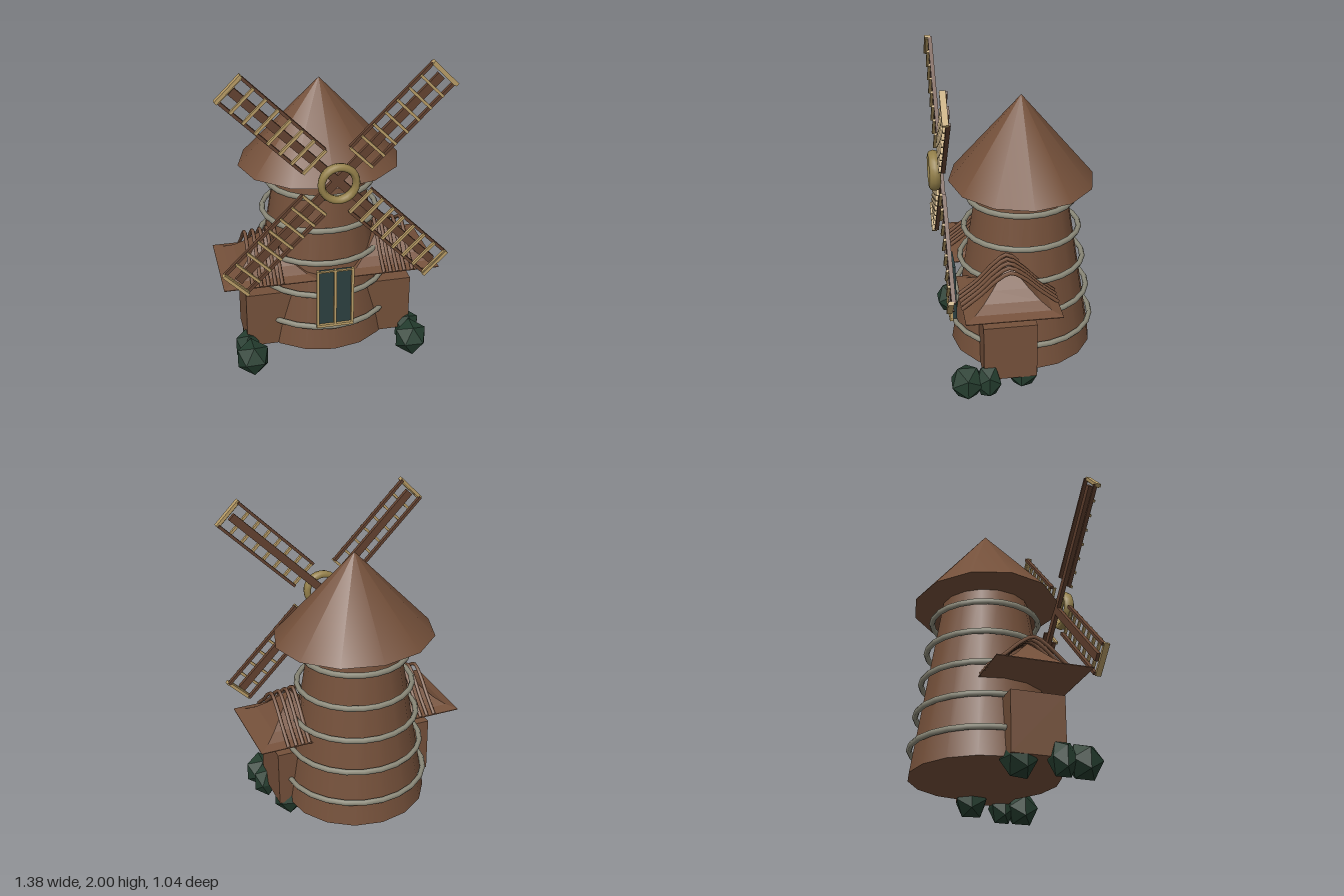
import * as THREE from 'three';

const mat = (name, color) => {
  const m = new THREE.MeshStandardMaterial({ color });
  m.name = name;
  return m;
};

export function createModel() {
  const brown = mat('wood brown', 0x74503a);
  const darkBrown = mat('dark wood', 0x634230);
  const gold = mat('brass', 0x94804a);
  const paleWood = mat('pale wood', 0xb89c66);
  const stone = mat('grey band', 0x8c8a7a);
  const glass = mat('dark glass', 0x2c3f40);
  const leaf = mat('leaf green', 0x243c2e);
  for (const m of [leaf]) m.flatShading = true;

  const root = new THREE.Group();
  root.name = 'windmill';
  const axisZ = -0.05;

  const add = (parent, name, geometry, material, x = 0, y = 0, z = 0) => {
    const mesh = new THREE.Mesh(geometry, material);
    mesh.name = name;
    mesh.position.set(x, y, z);
    parent.add(mesh);
    return mesh;
  };
  const box = (parent, name, material, w, h, d, x, y, z) =>
    add(parent, name, new THREE.BoxGeometry(w, h, d), material, x, y, z);

  // Tapered tower and its conical roof
  add(root, 'tower', new THREE.CylinderGeometry(0.273, 0.457, 1.13, 16), brown, 0, 0.675, axisZ);
  const roof = add(root, 'mainRoof', new THREE.ConeGeometry(0.51, 0.535, 12), brown, 0, 1.502, axisZ);
  roof.scale.z = 0.89;

  // Bands around the tower
  for (let i = 0; i < 5; i++) {
    const band = new THREE.TorusGeometry(0.451 - i * 0.029, 0.018, 6, 24);
    band.rotateX(Math.PI / 2);
    add(root, 'towerBand', band, stone, 0, 0.28 + i * 0.21, axisZ);
  }

  // Front window with three uprights and a sill
  box(root, 'windowGlass', glass, 0.22, 0.375, 0.03, 0, 0.497, 0.397);
  for (const x of [-0.109, 0, 0.109])
    box(root, 'windowUpright', paleWood, 0.016, 0.395, 0.018, x, 0.502, 0.418);
  box(root, 'windowSill', paleWood, 0.235, 0.018, 0.022, 0, 0.306, 0.418);
  box(root, 'windowHead', paleWood, 0.22, 0.008, 0.016, 0, 0.688, 0.415);

  // Flared four-sided roof profile for the side rooms
  const flare = [[0, 0.608], [0.29, 0.608], [0.29, 0.613], [0.23, 0.63], [0.17, 0.667],
    [0.11, 0.722], [0.05, 0.79], [0, 0.845]];
  const flareGeo = new THREE.LatheGeometry(
    flare.map(([r, y]) => new THREE.Vector2(r * Math.SQRT2, y)), 4)
    .rotateY(Math.PI / 4).toNonIndexed();
  flareGeo.computeVertexNormals();

  // Arched rib running front to back over a side roof
  const ribGeo = (lift) => new THREE.TubeGeometry(new THREE.CatmullRomCurve3(
    [[0.385, 0.615], [0.27, 0.705], [0.17, 0.795 + lift * 0.5], [0.09, 0.835 + lift],
      [0.01, 0.795 + lift * 0.5], [-0.09, 0.705], [-0.2, 0.615]]
      .map(([z, y]) => new THREE.Vector3(0, y, z))), 20, 0.012, 6);

  // Side rooms, roofs, ribs and bushes, mirrored
  for (const side of [1, -1]) {
    const wing = new THREE.Group();
    wing.name = side > 0 ? 'leftWing' : 'rightWing';
    root.add(wing);
    box(wing, 'sideRoom', brown, 0.33, 0.37, 0.33, side * 0.365, 0.295, 0.095);
    add(wing, 'sideRoof', flareGeo, brown, side * 0.385, 0, 0.09);
    [0.32, 0.362, 0.405, 0.45, 0.5].forEach((x, i) =>
      add(wing, 'roofRib', ribGeo(0.03 - i * 0.007), brown, side * x, 0, 0));
    for (const [x, y, z, r] of [[0.515, 0.1, 0.365, 0.112], [0.525, 0.1, 0.235, 0.088],
      [0.44, 0.1, 0.005, 0.108]]) {
      const bush = add(wing, 'bush', new THREE.IcosahedronGeometry(r, 0), leaf, side * x, y, z);
      bush.rotation.y = side * x * 3;
      bush.scale.y = 0.1 / (r * 0.8507);
    }
  }

  // Rotor: four lattice sails around a ring hub
  const rotor = new THREE.Group();
  rotor.name = 'rotor';
  rotor.position.set(0, 1.31, 0);
  root.add(rotor);
  for (let i = 0; i < 4; i++) {
    const sail = new THREE.Group();
    sail.name = 'sail';
    sail.rotation.z = Math.PI / 4 + i * Math.PI / 2;
    rotor.add(sail);
    box(sail, 'spar', darkBrown, 0.84, 0.05, 0.025, 0.42, 0, 0.445);
    for (const s of [1, -1])
      box(sail, 'rail', darkBrown, 0.67, 0.018, 0.025, 0.53, s * 0.092, 0.447);
    for (let k = 0; k < 8; k++)
      box(sail, 'rung', paleWood, 0.016, 0.19, 0.018, 0.195 + k * 0.0945, 0, 0.465);
    box(sail, 'endRung', paleWood, 0.02, 0.205, 0.035, 0.865, 0, 0.463);
  }
  const hub = add(rotor, 'hubRing', new THREE.TorusGeometry(0.103, 0.023, 8, 24), gold, 0, 0, 0.488);
  hub.scale.z = 1.5;

  return root;
}
